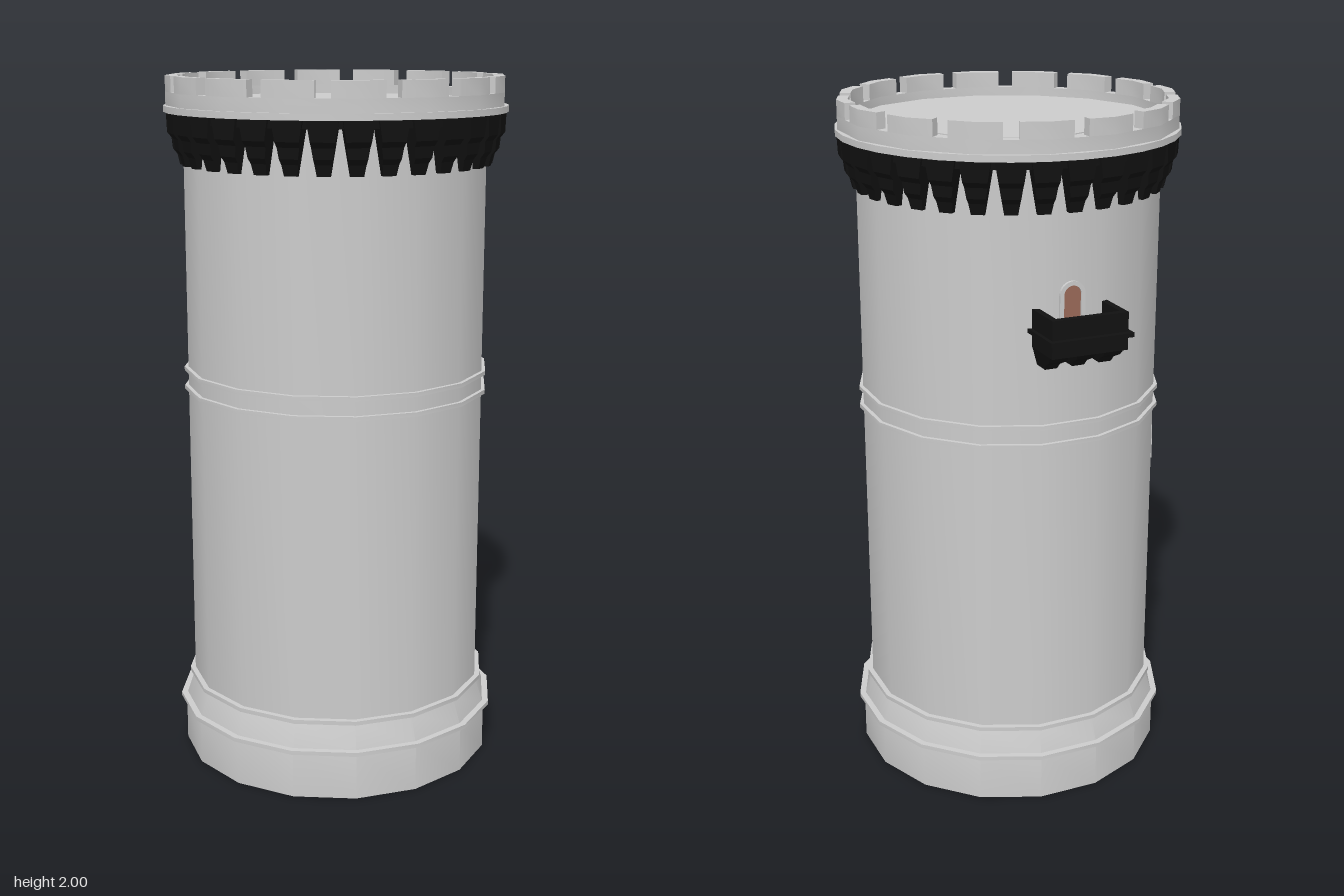
import * as THREE from 'three';
import { toCreasedNormals } from 'three/addons/utils/BufferGeometryUtils.js';

const SIDES = 16, STEP = (Math.PI * 2) / SIDES;
const stone = new THREE.MeshStandardMaterial({ color: 0xcccccc, side: THREE.DoubleSide });
const dark = new THREE.MeshStandardMaterial({ color: 0x111111 });
const wood = new THREE.MeshStandardMaterial({ color: 0x9a6a58 });

function add(parent, name, geo, mat) {
  const mesh = new THREE.Mesh(geo, mat);
  mesh.name = name;
  parent.add(mesh);
  return mesh;
}

// Turned part given by [apothem, y] points; flats face the axes when sides = 16
function turned(points, sides = SIDES) {
  const k = sides === SIDES ? 1 / Math.cos(STEP / 2) : 1;
  const pts = points.map(([r, y]) => new THREE.Vector2(r * k, y));
  const start = sides === SIDES ? STEP / 2 : 0;
  return toCreasedNormals(new THREE.LatheGeometry(pts, sides, start), 0.5);
}

// Ring with a rectangular section
const band = (r0, r1, y0, y1, sides) =>
  turned([[r1, y0], [r1, y1], [r0, y1], [r0, y0], [r1, y0]], sides);

// Bracket: side profile [out, y], full width at the top and narrower below, facing +z
function bracket(profile, topWidth, bottomWidth) {
  const shape = new THREE.Shape(profile.map(([r, y]) => new THREE.Vector2(r, y)));
  const geo = new THREE.ExtrudeGeometry(shape, { depth: 1, bevelEnabled: false });
  geo.translate(0, 0, -0.5).rotateY(-Math.PI / 2);
  const ys = profile.map((p) => p[1]);
  const lo = Math.min(...ys), hi = Math.max(...ys);
  const pos = geo.attributes.position;
  for (let i = 0; i < pos.count; i++) {
    const t = (pos.getY(i) - lo) / (hi - lo);
    pos.setX(i, pos.getX(i) * THREE.MathUtils.lerp(bottomWidth, topWidth, t));
  }
  geo.computeVertexNormals();
  return geo;
}

// Round-headed outline standing on y = 0
function arch(w, h, PathType) {
  const p = new PathType();
  p.moveTo(-w / 2, 0);
  p.lineTo(w / 2, 0);
  p.lineTo(w / 2, h - w / 2);
  p.absarc(0, h - w / 2, w / 2, 0, Math.PI, false);
  p.lineTo(-w / 2, 0);
  return p;
}

// Arched opening with a stone surround and a wooden leaf, facing +z
function opening(name, w, h) {
  const g = new THREE.Group();
  g.name = name;
  const surround = arch(w, h, THREE.Shape);
  const hole = arch(w - 0.024, h - 0.024, THREE.Path);
  surround.holes.push(new THREE.Path(hole.getPoints(8).map((p) => p.add(new THREE.Vector2(0, 0.012)))));
  const opts = { bevelEnabled: false, curveSegments: 8 };
  add(g, 'surround', new THREE.ExtrudeGeometry(surround, { ...opts, depth: 0.028 }), stone);
  add(g, 'leaf', new THREE.ExtrudeGeometry(arch(w - 0.02, h - 0.01, THREE.Shape), { ...opts, depth: 0.023 }), wood);
  return g;
}

// Merlon that bends round one corner of the parapet, between two gaps
function merlonGeometry(rIn, rOut, halfGap, height) {
  const edge = (r) => {
    const near = new THREE.Vector2(r, halfGap);
    const corner = new THREE.Vector2(r, r * Math.tan(STEP / 2));
    const far = new THREE.Vector2(r, -halfGap).rotateAround(new THREE.Vector2(), STEP);
    return [near, corner, far];
  };
  const shape = new THREE.Shape([...edge(rOut), ...edge(rIn).reverse()]);
  const geo = new THREE.ExtrudeGeometry(shape, { depth: height, bevelEnabled: false });
  return toCreasedNormals(geo.rotateX(-Math.PI / 2), 0.5);
}

// Balcony: open box on three brackets, facing +z
function balcony() {
  const g = new THREE.Group();
  g.name = 'balcony';
  const box = (name, w, h, d, x, y, z) =>
    add(g, name, new THREE.BoxGeometry(w, h, d), dark).position.set(x, y, z);
  box('balconyFloor', 0.222, 0.025, 0.142, 0, 1.408, 0.471);
  box('balconyFront', 0.222, 0.1, 0.018, 0, 1.45, 0.533);
  box('frontMoulding', 0.243, 0.012, 0.02, 0, 1.44, 0.548);
  for (const s of [-1, 1]) {
    box('balconySide', 0.018, 0.1, 0.142, s * 0.102, 1.45, 0.471);
    box('sideMoulding', 0.014, 0.012, 0.148, s * 0.1145, 1.44, 0.474);
  }
  const profile = [[0.4, 1.345], [0.47, 1.345], [0.48, 1.36], [0.51, 1.375], [0.53, 1.4], [0.4, 1.4]];
  const geo = bracket(profile, 0.062, 0.036);
  for (const x of [-0.08, 0, 0.08]) add(g, 'balconyBracket', geo, dark).position.x = x;
  return g;
}

export function createModel() {
  const model = new THREE.Group();
  model.name = 'tower';
  const tower = new THREE.Group();
  tower.name = 'towerBody';
  tower.position.z = 0.037;
  model.add(tower);

  // Hollow shaft on a flared foot, open below
  add(tower, 'foot', turned([[0.453, 0], [0.453, 0.14], [0.425, 0.225]]), stone);
  add(tower, 'shaft', turned([[0.425, 0.225], [0.425, 1.91]]), stone);

  // String courses
  for (const [r, y] of [[0.468, 0.143], [0.44, 0.225], [0.436, 1.11], [0.436, 1.165]])
    add(tower, 'stringCourse', band(r - 0.035, r, y - 0.006, y + 0.006), stone);

  // Roof deck with a shallow central panel
  add(tower, 'roofDeck', turned([[0.445, 1.93], [0.303, 1.93], [0.303, 1.933], [0, 1.933]]), stone);

  // Cornice and parapet
  add(tower, 'cornice', band(0.42, 0.487, 1.9, 1.918, 32), stone);
  add(tower, 'parapet', band(0.44, 0.471, 1.918, 1.955), stone);
  const merlon = merlonGeometry(0.44, 0.471, 0.021, 0.045);
  for (let i = 0; i < SIDES; i++) {
    const m = add(tower, 'merlon', merlon, stone);
    m.position.y = 1.955;
    m.rotation.y = i * STEP;
  }

  // Ring of brackets under the cornice
  add(tower, 'bracketBand', band(0.42, 0.474, 1.878, 1.9, 32), dark);
  const profile = [[0.415, 1.755], [0.443, 1.755], [0.45, 1.785], [0.462, 1.8], [0.465, 1.83],
    [0.477, 1.845], [0.479, 1.9], [0.415, 1.9]];
  const corbel = bracket(profile, 0.084, 0.036);
  for (let i = 0; i < 32; i++) add(tower, 'bracket', corbel, dark).rotation.y = (i * STEP) / 2;

  // Balcony with its door
  const rear = new THREE.Group();
  rear.name = 'balconyWithDoor';
  rear.rotation.y = Math.PI + STEP;
  const door = opening('door', 0.075, 0.15);
  door.position.set(0, 1.418, 0.405);
  rear.add(balcony(), door);
  tower.add(rear);

  // Window on the side
  const side = new THREE.Group();
  side.name = 'sideWindow';
  side.rotation.y = -Math.PI / 2;
  const win = opening('window', 0.07, 0.112);
  win.position.set(0, 0.918, 0.405);
  side.add(win);
  tower.add(side);

  return model;
}
